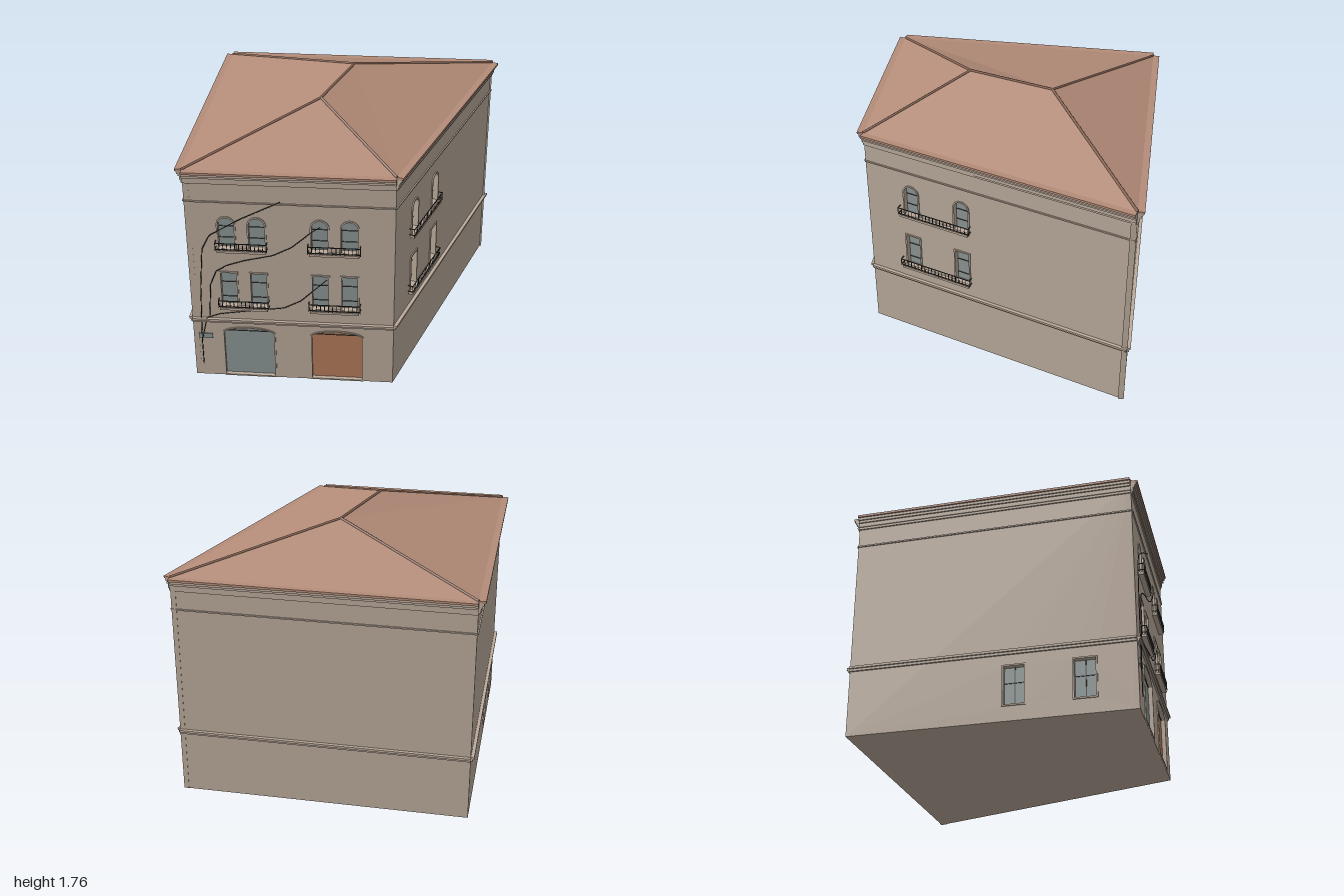
import * as THREE from 'three';

const paint = (name, color) => {
  const m = new THREE.MeshStandardMaterial({ color });
  m.name = name;
  return m;
};

export function createModel() {
  const model = new THREE.Group();
  model.name = 'townhouse';
  const stucco = paint('stucco', 0xbcac9c);
  const tile = paint('roofTile', 0xb58d79);
  const ridgeTile = paint('ridgeTile', 0x8a6858);
  const glass = paint('glass', 0x8d9997);
  const orange = paint('orangeDoor', 0xb67d5b);
  const iron = paint('iron', 0x3a3835);
  glass.side = orange.side = tile.side = THREE.DoubleSide;

  const add = (parent, name, geometry, material) => {
    const mesh = new THREE.Mesh(geometry, material);
    mesh.name = name;
    parent.add(mesh);
    return mesh;
  };
  // box given by its low and high corner
  const box = (parent, name, material, x0, y0, z0, x1, y1, z1) => {
    const mesh = add(parent, name, new THREE.BoxGeometry(x1 - x0, y1 - y0, z1 - z0), material);
    mesh.position.set((x0 + x1) / 2, (y0 + y1) / 2, (z0 + z1) / 2);
    return mesh;
  };
  // rectangular or arched outline
  const outline = (o, grow = 0) => {
    const s = new THREE.Shape();
    const h = o.w / 2 + grow;
    s.moveTo(o.u - h, o.y0 - grow);
    s.lineTo(o.u + h, o.y0 - grow);
    if (o.rise) {
      s.lineTo(o.u + h, o.y1);
      s.absellipse(o.u, o.y1, h, o.rise + grow, 0, Math.PI, false, 0);
    } else {
      s.lineTo(o.u + h, o.y1 + grow);
      s.lineTo(o.u - h, o.y1 + grow);
    }
    s.closePath();
    return s;
  };
  const extrude = (shape, depth) =>
    new THREE.ExtrudeGeometry(shape, { depth, bevelEnabled: false, curveSegments: 16 });

  // four-sided plan with one slanted side: [x, z] corners
  const A = [-0.955, 0.895], B = [0.34, 0.895], C = [0.95, -0.89], D = [-0.935, -0.9];
  const top = 1.515;

  const low = (u) => ({ u, w: 0.1, y0: 0.558, y1: 0.805, bars: [0.61, 0.72] });
  const high = (u) => ({ u, w: 0.1, y0: 0.985, y1: 1.155, rise: 0.05, bars: [1.05, 1.13] });
  const cellar = (u) => ({ u, w: 0.13, y0: 0.105, y1: 0.35, bars: [0.25], split: true });
  const garage = (u, fill) => ({ u, w: 0.325, y0: 0.012, y1: 0.345, rise: 0.038, bars: [0.35], fill });
  const frontU = [-0.705, -0.515, -0.125, 0.06].map((x) => x - A[0]);
  const sideU = [0.333, 0.703];

  const walls = [
    { name: 'frontWall', from: A, to: B,
      openings: [...frontU.map(low), ...frontU.map(high), garage(0.362, glass), garage(0.932, orange)],
      balconies: [[0.342, 0.325], [0.92, 0.33]] },
    { name: 'rightWall', from: B, to: C, trim: 0.025,
      openings: [...sideU.map(low), ...sideU.map(high)], balconies: [[0.508, 0.525]] },
    { name: 'backWall', from: C, to: D, openings: [], balconies: [] },
    { name: 'leftWall', from: D, to: A, openings: [cellar(1.05), cellar(1.48)], balconies: [] },
  ];

  // mouldings: bottom, top, projection
  const mouldings = [
    ['lowerBand', 0.425, 0.44, 0.012], ['lowerBandCap', 0.44, 0.455, 0.022],
    ['upperBand', 1.31, 1.319, 0.008],
    ['corniceBase', 1.44, 1.455, 0.009], ['corniceFrieze', 1.455, 1.482, 0.015],
    ['corniceStep', 1.482, 1.498, 0.024], ['corniceCap', 1.498, 1.515, 0.033],
  ];

  function balcony(parent, u, width, y) {
    const g = new THREE.Group();
    g.name = 'balcony';
    g.position.set(u, y, 0);
    parent.add(g);
    const h = width / 2, out = 0.036, t = 0.005;
    box(g, 'balconySlab', stucco, -h + 0.01, -0.016, 0, h - 0.01, 0, out - 0.004);
    for (const yy of [0.008, 0.051]) {
      box(g, 'frontRail', iron, -h, yy, out - t, h, yy + t, out);
      for (const s of [-1, 1])
        box(g, 'sideRail', iron, s * (h - t / 2) - t / 2, yy, 0, s * (h - t / 2) + t / 2, yy + t, out);
    }
    const n = Math.round(width / 0.026);
    for (let i = 0; i <= n; i++) {
      const x = -h + 0.002 + (i / n) * (width - 0.004);
      box(g, 'baluster', iron, x - 0.002, 0, out - 0.004, x + 0.002, 0.053, out - 0.001);
    }
  }

  for (const w of walls) {
    const dx = w.to[0] - w.from[0], dz = w.to[1] - w.from[1];
    const length = Math.hypot(dx, dz);
    const g = new THREE.Group();
    g.name = w.name;
    g.position.set(w.from[0], 0, w.from[1]);
    g.rotation.y = Math.atan2(-dz, dx);
    model.add(g);

    // wall slab with its openings cut out
    const end = length - (w.trim || 0);
    const slab = outline({ u: end / 2, w: end, y0: 0, y1: top });
    slab.holes = w.openings.map((o) => outline(o));
    add(g, 'wallSlab', extrude(slab, 0.035), stucco).position.z = -0.035;

    for (const [name, y0, y1, out] of mouldings) box(g, name, stucco, 0, y0, -0.01, length, y1, out);
    box(g, 'eave', tile, 0, 1.515, -0.02, length, 1.53, 0.043);

    for (const o of w.openings) {
      const name = o.fill ? 'garageDoor' : 'windowPane';
      add(g, name, new THREE.ShapeGeometry(outline(o, 0.002), 16), o.fill || glass).position.z = o.fill ? -0.02 : -0.03;
      const surround = outline(o, 0.01);
      surround.holes = [outline(o)];
      add(g, 'surround', extrude(surround, 0.007), stucco);
      const z = o.fill ? -0.02 : -0.03;
      for (const y of o.bars)
        box(g, 'crossBar', iron, o.u - o.w / 2, y - 0.002, z, o.u + o.w / 2, y + 0.002, z + 0.005);
      if (o.split) box(g, 'mullion', iron, o.u - 0.003, o.y0, z, o.u + 0.003, o.y1, z + 0.005);
    }
    for (const [u, width] of w.balconies) for (const y of [0.556, 0.984]) balcony(g, u, width, y);
  }

  // corner post and floor
  box(model, 'cornerPost', stucco, 0.918, 0, -0.893, 0.95, top, -0.862);
  const plan = new THREE.Shape([A, B, C, D].map(([x, z]) => new THREE.Vector2(x, -z)));
  add(model, 'floor', extrude(plan, 0.01), stucco).rotation.x = -Math.PI / 2;

  // hipped roof with a short slanted ridge
  const v = ([x, z], y) => new THREE.Vector3(x, y, z);
  const [a, b, c, d] = [A, B, C, D].map((p) => v(p, 1.53));
  const r1 = v([-0.17, 0.28], 1.748), r2 = v([0, -0.28], 1.748);
  const faces = [a, b, r1, b, c, r2, b, r2, r1, c, d, r2, d, a, r2, a, r1, r2];
  const roof = new THREE.BufferGeometry().setFromPoints(faces);
  roof.computeVertexNormals();
  add(model, 'roof', roof, tile);
  for (const [p, q] of [[a, r1], [b, r1], [c, r2], [d, r2], [r1, r2]]) {
    const cap = add(model, 'ridgeCap', new THREE.CylinderGeometry(0.009, 0.009, p.distanceTo(q), 6), ridgeTile);
    cap.position.lerpVectors(p, q, 0.5);
    cap.quaternion.setFromUnitVectors(new THREE.Vector3(0, 1, 0), q.clone().sub(p).normalize());
  }

  // cables running over the facade
  const cables = [
    [[-0.9, 0.09], [-0.9, 0.3], [-0.885, 0.7], [-0.86, 0.98], [-0.81, 1.08], [-0.62, 1.2], [-0.36, 1.335]],
    [[-0.84, 0.48], [-0.82, 0.72], [-0.78, 0.82], [-0.71, 0.865], [-0.6, 0.905], [-0.42, 0.95], [-0.3, 1.015], [-0.18, 1.125], [-0.12, 1.17]],
    [[-0.895, 0.3], [-0.86, 0.46], [-0.77, 0.495], [-0.56, 0.53], [-0.36, 0.56], [-0.25, 0.62], [-0.08, 0.79]],
  ];
  for (const pts of cables) {
    const path = new THREE.CurvePath();
    const p = pts.map(([x, y]) => new THREE.Vector3(x, y, 0.905));
    for (let i = 1; i < p.length; i++) path.add(new THREE.LineCurve3(p[i - 1], p[i]));
    add(model, 'cable', new THREE.TubeGeometry(path, 60, 0.003, 5), iron);
  }

  // small plate beside the garage
  box(model, 'wallPlate', glass, -0.92, 0.298, 0.895, -0.83, 0.332, 0.904);
  return model;
}
